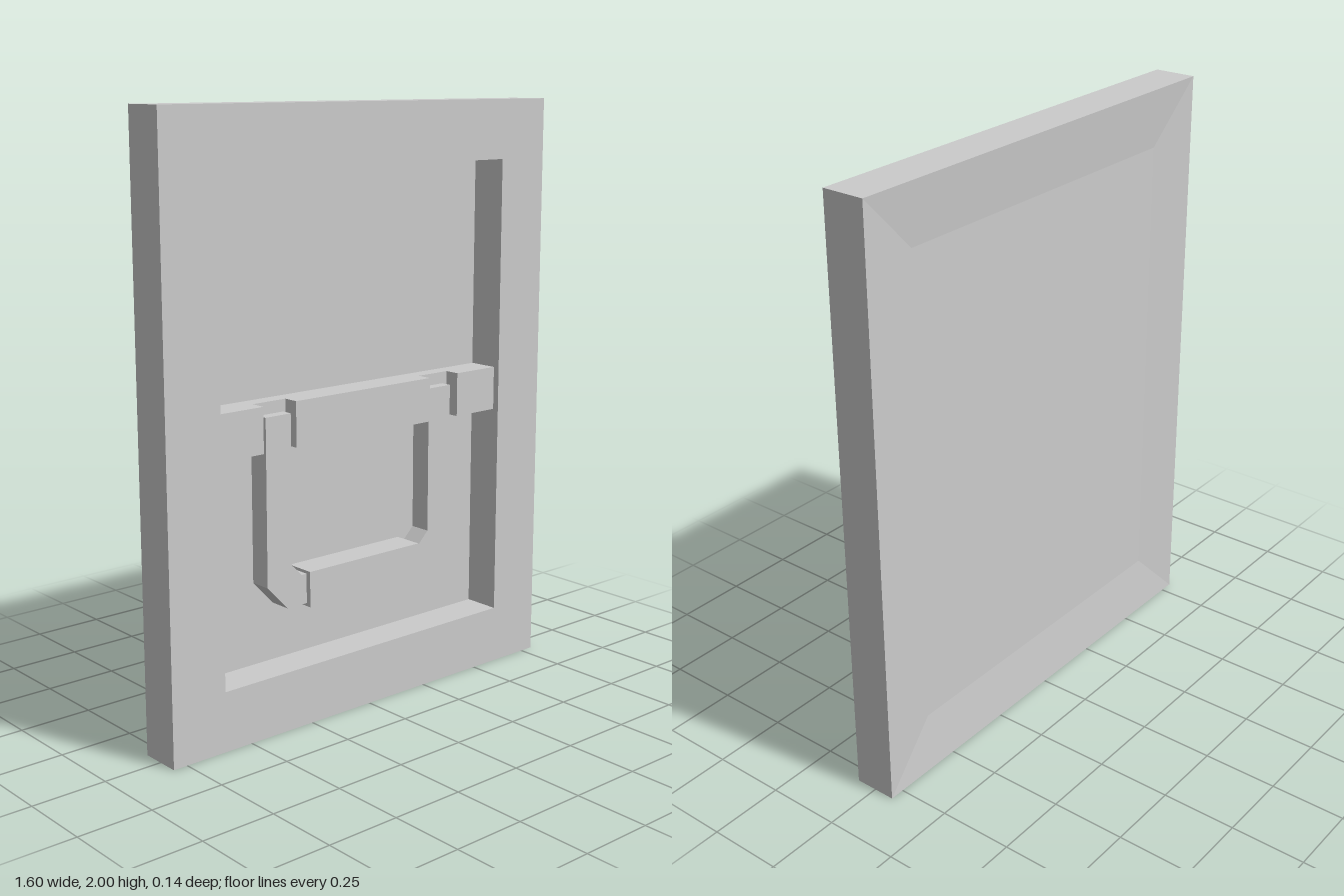
import * as THREE from 'three';

const FLOOR = -0.056, MID_Y = 1;

function material() {
  return new THREE.MeshStandardMaterial({ color: 0xcccccc, flatShading: true });
}

function addMesh(group, name, geometry) {
  const mesh = new THREE.Mesh(geometry, material());
  mesh.name = name;
  group.add(mesh);
  return mesh;
}

function polygon(points) {
  return new THREE.Shape(points.map(([x, y]) => new THREE.Vector2(x, y)));
}

// Closed surface through concentric rectangles [half width, half height, z], capped at both ends
function rectangleLoft(sections) {
  const rings = sections.map(([w, h, z]) =>
    [[-w, -h], [w, -h], [w, h], [-w, h]].map(([x, y]) => [x, y + MID_Y, z]));
  const positions = [];
  const quad = (a, b, c, d) => [a, b, c, a, c, d].forEach(p => positions.push(...p));
  for (let i = 0; i < rings.length - 1; i++) {
    const A = rings[i], B = rings[i + 1];
    for (let k = 0; k < 4; k++) {
      const n = (k + 1) % 4;
      quad(A[k], A[n], B[n], B[k]);
    }
  }
  const [a, b, c, d] = rings[0];
  quad(d, c, b, a);
  quad(...rings[rings.length - 1]);
  const geometry = new THREE.BufferGeometry();
  geometry.setAttribute('position', new THREE.Float32BufferAttribute(positions, 3));
  geometry.computeVertexNormals();
  return geometry;
}

export function createModel() {
  const model = new THREE.Group();
  model.name = 'recessedHandlePanel';

  // Frame with a deep front recess and a shallow dished back
  addMesh(model, 'framePanel', rectangleLoft([
    [0.6, 0.8, FLOOR - 0.001],
    [0.8, 1, -0.0725],
    [0.8, 1, 0.0725],
    [0.6, 0.8, 0.0725],
    [0.6, 0.8, FLOOR],
  ]));

  // Crossbar: plan outline (x, -z) with two notches, extruded upward
  const front = -0.05, notch = 0.003;
  const bar = new THREE.ExtrudeGeometry(polygon([
    [-0.6, -FLOOR], [-0.6, front],
    [-0.42, front], [-0.42, notch], [-0.29, notch], [-0.29, front],
    [0.29, front], [0.29, notch], [0.42, notch], [0.42, front],
    [0.6, front], [0.6, -FLOOR],
  ]), { depth: 0.15, bevelEnabled: false });
  bar.rotateX(-Math.PI / 2);
  addMesh(model, 'crossbar', bar).position.y = 0.93;

  // U-shaped handle bail with chamfered lower corners
  const half = [[0.32, 0.4], [0.4, 0.485], [0.4, 1.04], [0.3, 1.04], [0.3, 0.54], [0.26, 0.5]];
  const mirrored = half.map(([x, y]) => [-x, y]).reverse();
  const bail = new THREE.ExtrudeGeometry(polygon([...half, ...mirrored]),
    { depth: 0.075, bevelEnabled: false });
  addMesh(model, 'handleBail', bail).position.z = -0.04;

  // Grip block around the bottom of the bail
  addMesh(model, 'handleGrip', new THREE.BoxGeometry(0.48, 0.12, 0.104))
    .position.set(0, 0.45, 0.001);

  return model;
}
